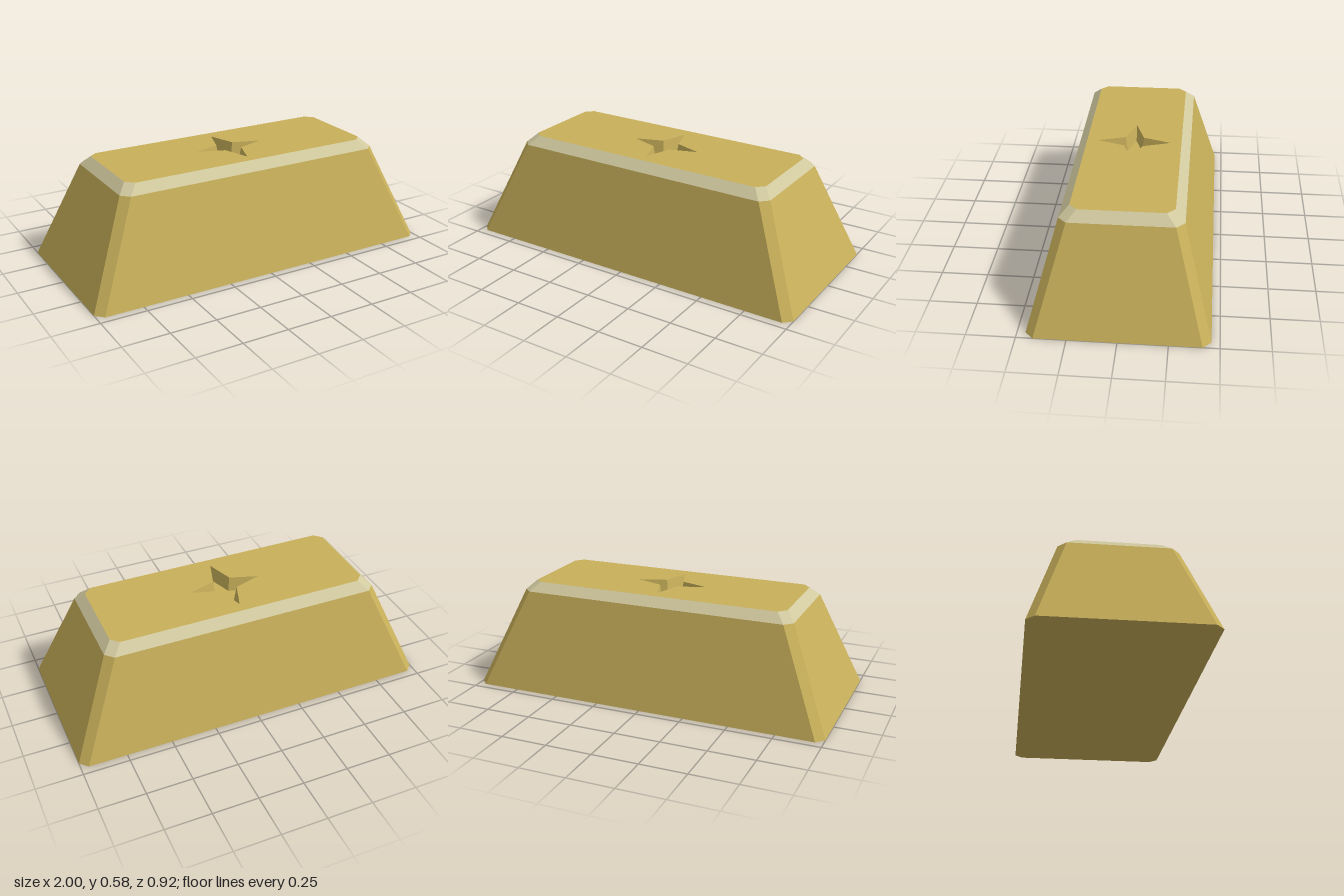
import * as THREE from 'three';

const gold = new THREE.MeshStandardMaterial({ color: 0xc8b05a });
gold.name = 'gold';
const paleGold = new THREE.MeshStandardMaterial({ color: 0xd0c89e });
paleGold.name = 'pale gold';

// Rectangle with cut corners, anticlockwise seen from above
function octagon(x, z, c) {
  return [[x, -z + c], [x, z - c], [x - c, z], [-x + c, z],
    [-x, z - c], [-x, -z + c], [-x + c, -z], [x - c, -z]]
    .map(([a, b]) => new THREE.Vector2(a, b));
}

// Four-pointed star outline
function star(tip, notch) {
  const points = [];
  for (let i = 0; i < 8; i++) {
    const r = i % 2 ? notch * Math.SQRT2 : tip;
    const a = i * Math.PI / 4;
    points.push(new THREE.Vector2(r * Math.cos(a), r * Math.sin(a)));
  }
  return points;
}

// Flat-sided wall between two matching outlines
function wall(from, y0, to, y1) {
  const positions = [];
  from.forEach((p, i) => {
    const j = (i + 1) % from.length;
    const a = [p.x, y0, -p.y], b = [from[j].x, y0, -from[j].y];
    const c = [to[j].x, y1, -to[j].y], d = [to[i].x, y1, -to[i].y];
    positions.push(...a, ...b, ...c, ...a, ...c, ...d);
  });
  const geometry = new THREE.BufferGeometry();
  geometry.setAttribute('position', new THREE.Float32BufferAttribute(positions, 3));
  geometry.computeVertexNormals();
  return geometry;
}

// Flat horizontal face, optionally with a hole
function face(outline, y, hole) {
  const shape = new THREE.Shape(outline);
  if (hole) shape.holes.push(new THREE.Path(hole));
  return new THREE.ShapeGeometry(shape).rotateX(-Math.PI / 2).translate(0, y, 0);
}

export function createModel() {
  const model = new THREE.Group();
  model.name = 'ingot';
  const add = (name, geometry, material) => {
    const mesh = new THREE.Mesh(geometry, material);
    mesh.name = name;
    model.add(mesh);
  };

  const shoulderY = 0.535, topY = 0.583, floorY = 0.503;
  const base = octagon(1, 0.458, 0.042);
  const shoulder = octagon(0.773, 0.309, 0.043);
  const rim = octagon(0.724, 0.259, 0.041);
  const starRim = star(0.2, 0.05);
  const starFloor = star(0.16, 0.04);

  // Tapered body and bevelled rim
  add('underside', face(base, 0).rotateX(Math.PI), gold);
  add('slopingSides', wall(base, 0, shoulder, shoulderY), gold);
  add('bevel', wall(shoulder, shoulderY, rim, topY), paleGold);
  add('topFace', face(rim, topY, starRim), gold);

  // Star pressed into the top
  add('starRecessWalls', wall(starRim, topY, starFloor, floorY), gold);
  add('starRecessFloor', face(starFloor, floorY), gold);

  return model;
}
